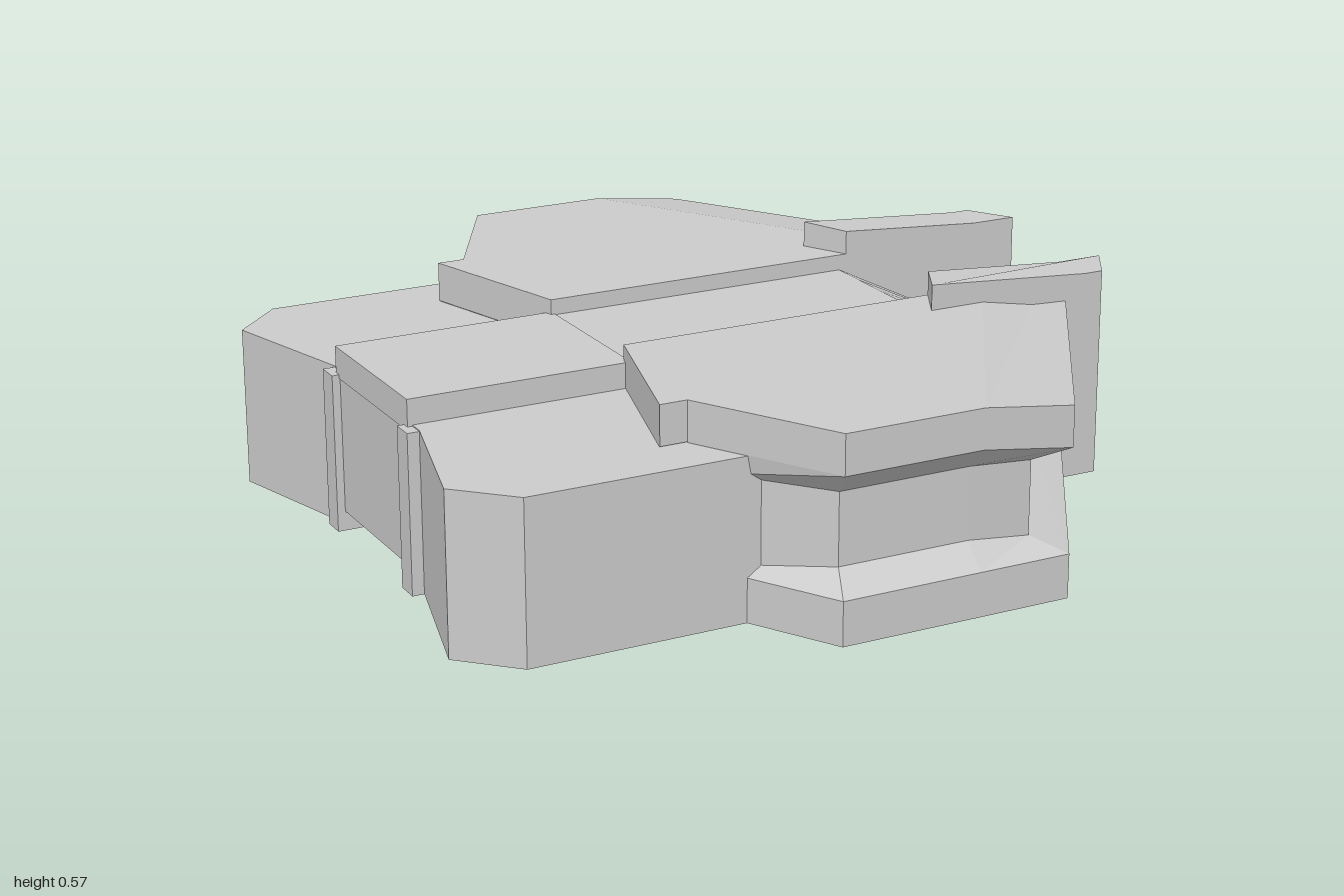
import * as THREE from 'three';

const material = new THREE.MeshStandardMaterial({ color: 0xcccccc, flatShading: true });

// Solid through a stack of plan outlines (bottom to top), points are [x, y, z].
// side = -1 mirrors it across z = 0; topFaces optionally splits the top cap.
function loft(name, rings, side = 1, topFaces = null) {
  const levels = rings.map(r => r.map(([x, y, z]) => new THREE.Vector3(x, y, z * side)));
  const n = levels[0].length, pos = [];
  const tri = (a, b, c) => pos.push(...a.toArray(), ...b.toArray(), ...c.toArray());
  const plan = r => r.map(p => new THREE.Vector2(p.x, -p.z));
  const ccw = THREE.ShapeUtils.area(plan(levels[0])) > 0;
  for (let l = 0; l < levels.length - 1; l++) {
    for (let i = 0; i < n; i++) {
      const j = (i + 1) % n, [lo, hi] = [levels[l], levels[l + 1]];
      const [p, q] = ccw ? [i, j] : [j, i];
      tri(lo[p], lo[q], hi[q]);
      tri(lo[p], hi[q], hi[p]);
    }
  }
  const cap = (pts, up) => {
    const flat = plan(pts);
    for (const [a, b, c] of THREE.ShapeUtils.triangulateShape(flat, [])) {
      const facesUp = THREE.ShapeUtils.area([flat[a], flat[b], flat[c]]) > 0;
      if (facesUp === up) tri(pts[a], pts[b], pts[c]);
      else tri(pts[a], pts[c], pts[b]);
    }
  };
  cap(levels[0], false);
  const top = levels[levels.length - 1];
  for (const face of topFaces || [top.map((_, i) => i)]) cap(face.map(i => top[i]), true);

  const geometry = new THREE.BufferGeometry();
  geometry.setAttribute('position', new THREE.Float32BufferAttribute(pos, 3));
  geometry.computeVertexNormals();
  const mesh = new THREE.Mesh(geometry, material);
  mesh.name = name;
  return mesh;
}

// Plan outline [x, z] raised to height y, which may be a function of x or of the index
const ring = (outline, y) =>
  outline.map(([x, z], i) => [x, typeof y === 'function' ? y(x, i) : y, z]);

export function createModel() {
  const model = new THREE.Group();
  model.name = 'model';

  // Wing outlines: corners 5..7 form the lowered front edge
  const plate = [[-0.35, 0.2], [-0.47, 0.62], [-0.4, 0.62], [-0.2, 0.98], [0.16, 0.98],
    [0.4, 0.98], [0.82, 0.32], [0.82, 0.2], [0.65, 0.2]];
  const lip = plate.map(p => [...p]);
  lip[1] = [-0.38, 0.45];
  const waist = [[-0.35, 0.2], [-0.36, 0.45], [-0.36, 0.67], [-0.17, 0.905], [0.17, 0.905],
    [0.34, 0.9], [0.76, 0.26], [0.76, 0.2], [0.62, 0.2]];
  const stepped = (rear, front) => (x, i) => (i >= 5 && i <= 7 ? front : rear);

  const rearOutline = [[-0.9, 0.2], [-0.9, 0.26], [-1, 0.63], [-0.87, 0.76],
    [-0.287, 0.76], [-0.287, 0.2]];
  const nubOutline = [[-0.93, 0.2], [-0.93, 0.26], [-0.85, 0.26], [-0.85, 0.2]];
  const finOutline = [[0.49, 0.2], [0.43, 0.315], [0.88, 0.315], [0.93, 0.315], [1, 0.2], [0.88, 0.2]];
  const finTop = x => 0.535 + 0.035 * Math.max(0, (0.88 - x) / 0.45);

  for (const side of [1, -1]) {
    const half = new THREE.Group();
    half.name = side > 0 ? 'frontHalf' : 'backHalf';
    half.add(
      // Grooved wing with a bevelled top plate
      loft('wing', [
        ring(lip, 0), ring(lip, 0.11),
        ring(waist, stepped(0.16, 0.14)), ring(waist, stepped(0.34, 0.325)),
        ring(plate, stepped(0.405, 0.37)), ring(plate, stepped(0.505, 0.472)),
      ], side, [[0, 1, 2, 3, 4, 8], [4, 5, 6, 7, 8]]),
      loft('rearBlock', [ring(rearOutline, 0), ring(rearOutline, 0.403)], side),
      loft('rearNub', [ring(nubOutline, 0), ring(nubOutline, 0.4)], side),
      loft('fin', [ring(finOutline, 0), ring(finOutline, finTop)], side),
    );
    model.add(half);
  }

  // Central spine with a pointed, undercut nose
  const spine = (y, edge, mid, tip) => ring([[-0.91, -0.2], [-0.91, 0.2], [edge, 0.2],
    [mid, 0.11], [tip, 0], [mid, -0.11], [edge, -0.2]], y);
  model.add(loft('spine', [
    spine(0.05, 0.7, 0.76, 0.8),
    spine(0.11, 0.77, 0.84, 0.9),
    spine(0.23, 0.77, 0.84, 0.9),
    spine(0.285, 0.77, 0.84, 0.85),
    spine(0.465, 0.47, 0.47, 0.47),
  ]));

  // Wider cover over the rear of the spine
  const cover = [[-0.912, -0.22], [-0.912, 0.22], [-0.34, 0.22], [-0.34, -0.22]];
  model.add(loft('rearCover', [ring(cover, 0.39), ring(cover, 0.467)]));

  return model;
}
